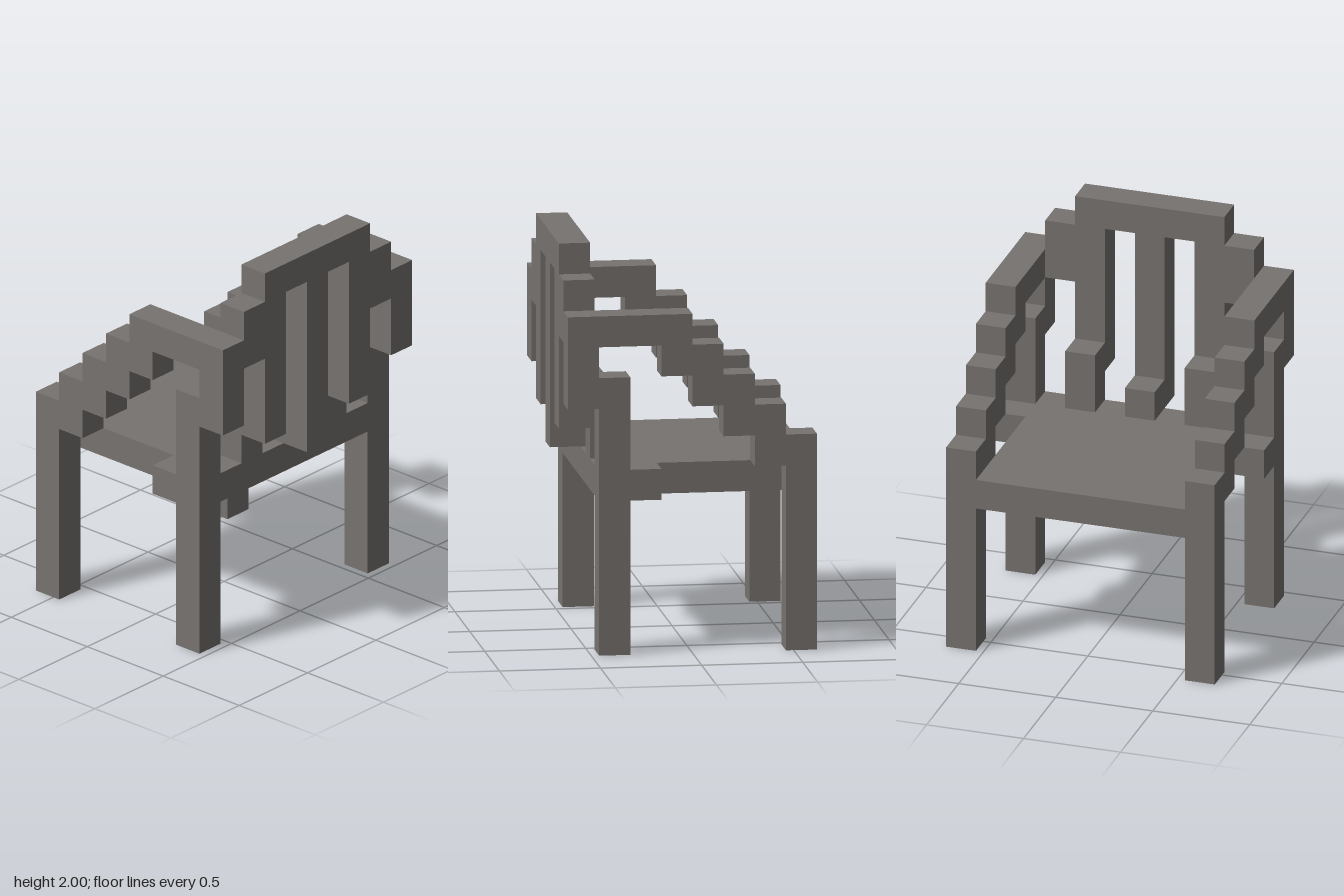
import * as THREE from 'three';

// The chair is made on a block grid: 8 wide (x), 13 high (y), 9 deep (z).
const U = 2 / 13;

export function createModel() {
  const chair = new THREE.Group();
  chair.name = 'chair';
  const grey = new THREE.MeshStandardMaterial({ color: 0x777370 });
  grey.name = 'grey';

  function add(name, geometry) {
    const mesh = new THREE.Mesh(geometry, grey);
    mesh.name = name;
    chair.add(mesh);
  }

  // Box between two grid corners
  function block(name, [x0, y0, z0], [x1, y1, z1]) {
    const g = new THREE.BoxGeometry(x1 - x0, y1 - y0, z1 - z0);
    g.translate((x0 + x1) / 2 - 4, (y0 + y1) / 2, (z0 + z1) / 2 - 4.5);
    add(name, g.scale(U, U, U));
  }

  // One-block-thick slab from a grid outline
  function slab(points) {
    const shape = new THREE.Shape(points.map(([a, b]) => new THREE.Vector2(a, b)));
    return new THREE.ExtrudeGeometry(shape, { depth: 1, bevelEnabled: false });
  }

  // Front leg running into the stepped armrest (x, y)
  const armOutline = [
    [0, 0], [1, 0], [1, 6], [2, 6], [2, 7], [3, 7], [3, 8], [4, 8], [4, 9], [5, 9], [5, 10],
    [7, 10], [7, 11], [4, 11], [4, 10], [3, 10], [3, 9], [2, 9], [2, 8], [1, 8], [1, 7], [0, 7],
  ];

  for (const [side, z] of [['Right', 0], ['Left', 8]]) {
    add('frontLegAndArm' + side, slab(armOutline).translate(-4, 0, z - 4.5).scale(U, U, U));
    block('rearLeg' + side, [6, 0, z], [7, 9, z + 1]);
    block('seatBracket' + side, [5, 5, z], [6, 6, z + 1]);
  }

  block('seat', [0, 5, 1], [7, 6, 8]);

  // Stepped backrest with hanging slats: half outline (distance from middle, y), mirrored
  const half = [
    [0.5, 6], [0.5, 12], [1.5, 12], [1.5, 7], [2.5, 7], [2.5, 10], [3.5, 10], [3.5, 8],
    [4.5, 8], [4.5, 11], [3.5, 11], [3.5, 12], [2.5, 12], [2.5, 13],
  ];
  const backOutline = [...half, ...half.map(([a, y]) => [-a, y]).reverse()];
  add('backrest', slab(backOutline).rotateY(Math.PI / 2).translate(3, 0, 0).scale(U, U, U));

  // Slat feet standing on the rear of the seat
  for (const [z, top] of [[2, 8], [4, 7], [6, 8]]) {
    block('slatFoot', [6, 6, z], [7, top, z + 1]);
  }

  return chair;
}
